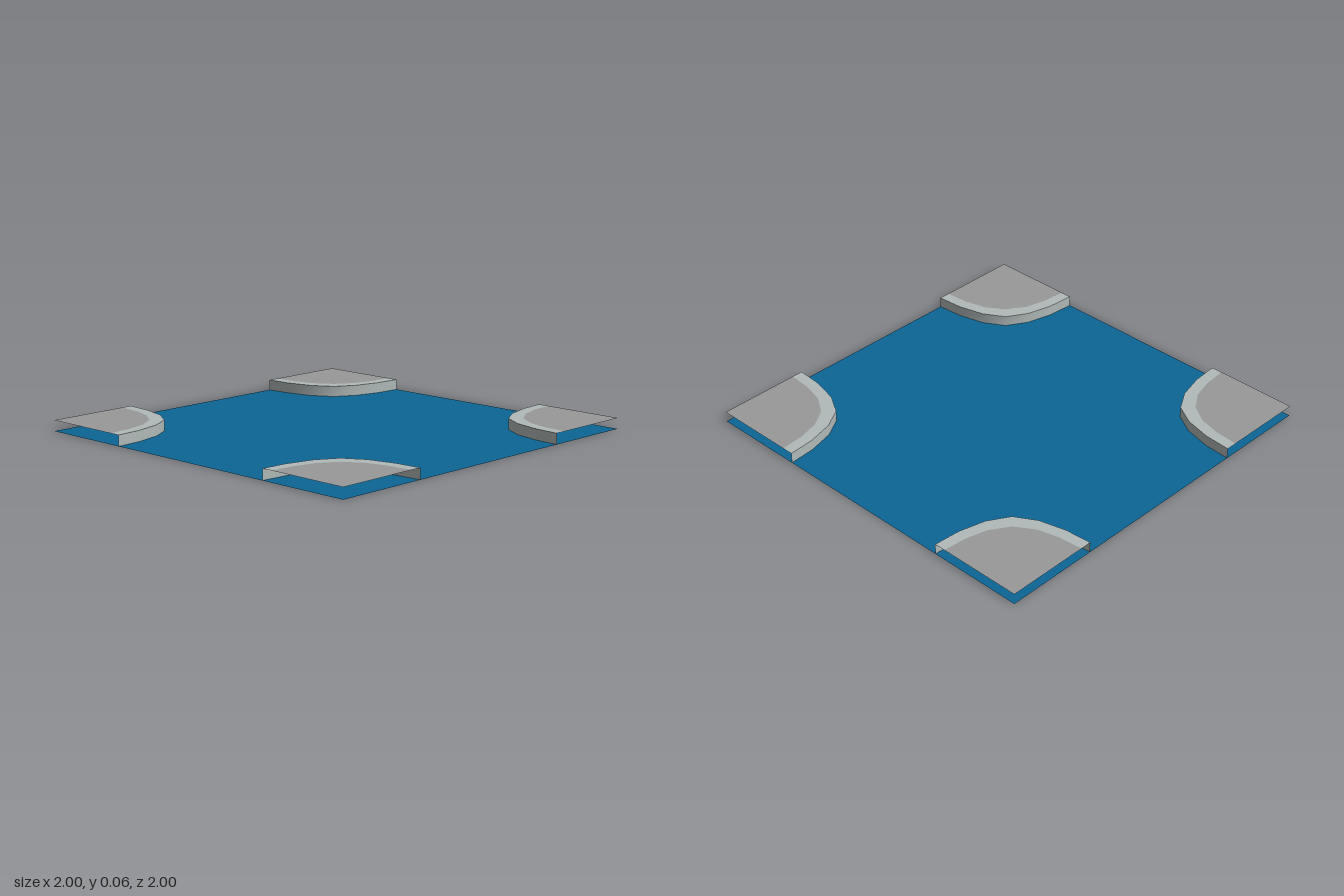
import * as THREE from 'three';

const HEIGHT = 0.056;

// Symmetric rounded curves, measured inward from a tile corner
const mirrorCurve = half => [...half, ...half.slice(0, -1).reverse().map(([u, v]) => [v, u])];
const OUTER = mirrorCurve([[0, 0.5], [0.14, 0.49], [0.28, 0.455], [0.39, 0.39]]);
const INNER = mirrorCurve([[0, 0.44], [0.125, 0.43], [0.24, 0.4], [0.337, 0.337]]);

const material = color => new THREE.MeshStandardMaterial({ color, side: THREE.DoubleSide });

function part(name, geometry, mat) {
  const mesh = new THREE.Mesh(geometry, mat);
  mesh.name = name;
  return mesh;
}

// Flat horizontal patch bounded by corner-relative points
function flatPatch(points) {
  const shape = new THREE.Shape(points.map(([u, v]) => new THREE.Vector2(1 - u, v - 1)));
  return new THREE.ShapeGeometry(shape).rotateX(-Math.PI / 2).translate(0, HEIGHT, 0);
}

// Upright strip bent along the outer curve, with smooth normals
function curvedWall(points) {
  const geometry = new THREE.PlaneGeometry(1, 1, points.length - 1, 1);
  const pos = geometry.attributes.position;
  for (let i = 0; i < pos.count; i++) {
    const [u, v] = points[i % points.length];
    pos.setXYZ(i, 1 - u, i < points.length ? HEIGHT : 0, 1 - v);
  }
  geometry.computeVertexNormals();
  return geometry;
}

export function createModel() {
  const model = new THREE.Group();
  model.name = 'crossroadTile';

  const roadMat = material(0x0c6694);
  const kerbMat = material(0xb0bab8);
  const pavementMat = material(0x999999);

  // Road sheet
  model.add(part('road', new THREE.PlaneGeometry(2, 2).rotateX(-Math.PI / 2), roadMat));

  // Four raised corners, open along the tile edges
  const pavement = flatPatch([[0, 0], ...INNER]);
  const kerbTop = flatPatch([...OUTER, ...[...INNER].reverse()]);
  const kerbWall = curvedWall(OUTER);
  for (let i = 0; i < 4; i++) {
    const corner = new THREE.Group();
    corner.name = `pavementCorner${i + 1}`;
    corner.rotation.y = i * Math.PI / 2;
    corner.add(
      part('pavement', pavement, pavementMat),
      part('kerbTop', kerbTop, kerbMat),
      part('kerbWall', kerbWall, kerbMat)
    );
    model.add(corner);
  }
  return model;
}
